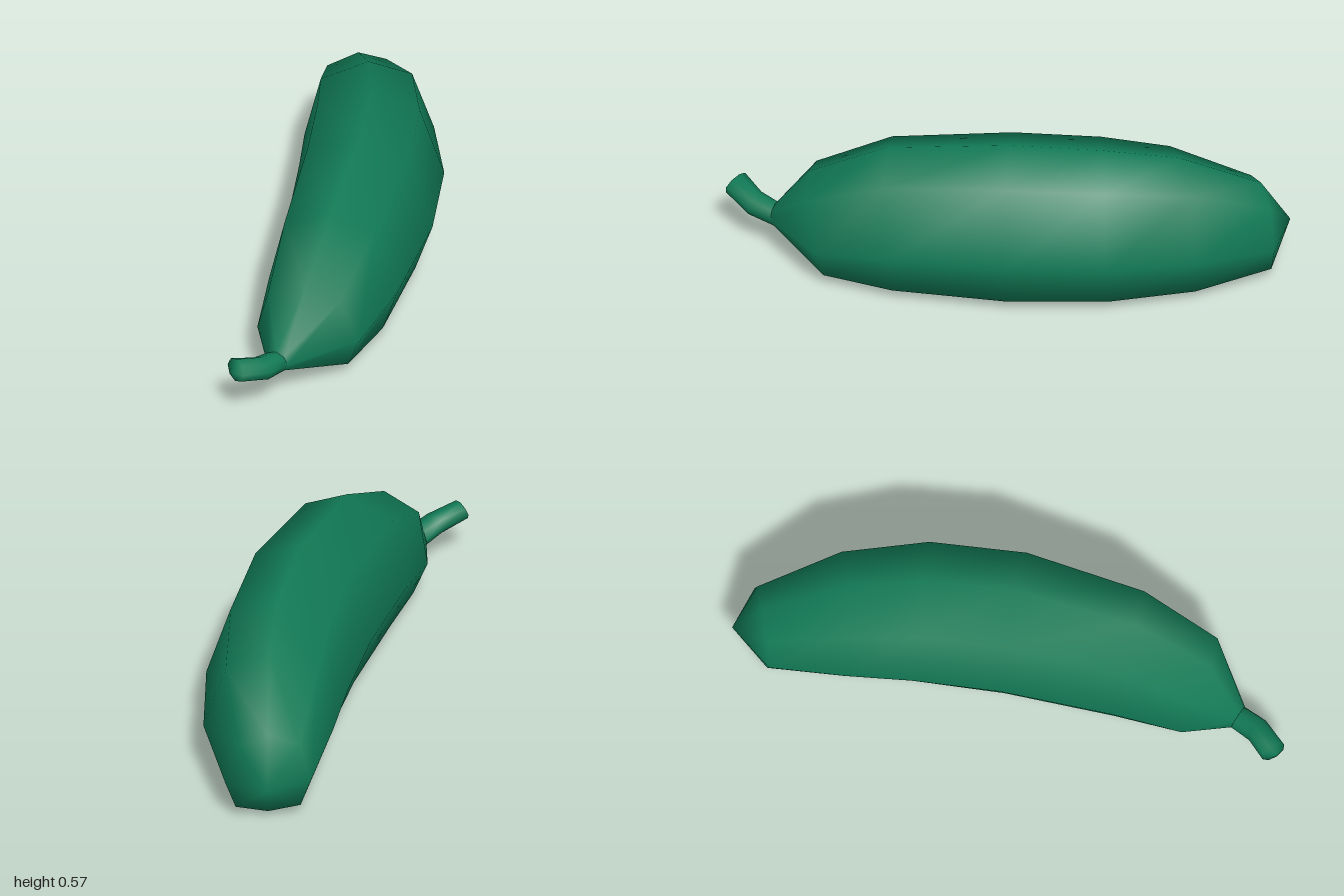
import * as THREE from 'three';

// Eight-sided section, clockwise from the top: u across (-1..1), v up (0..1)
const SECTION = [[0, 1], [0.67, 0.87], [1, 0.385], [0.76, 0.07], [0, 0], [-0.76, 0.07], [-1, 0.385], [-0.74, 0.87]];
const ROUND = SECTION.map((_, j) => [Math.sin(j * Math.PI / 4), 0.5 + 0.5 * Math.cos(j * Math.PI / 4)]);

// Ring: [left x, right x, bottom y, top y, z, z shift to the right, z shift to the top, section]
function ringPoints([x0, x1, y0, y1, z, zx, zy, section]) {
  return section.map(([u, v]) => [
    (x0 + x1) / 2 + u * (x1 - x0) / 2,
    y0 + v * (y1 - y0),
    z + u * zx + (2 * v - 1) * zy,
  ]);
}

// Skin rings ordered front to back, closing an end where a cap point is given
function loft(rings, { front, back }) {
  const n = SECTION.length;
  const points = rings.flatMap(ringPoints);
  const index = [];
  for (let i = 0; i < rings.length - 1; i++) {
    for (let j = 0; j < n; j++) {
      const a = i * n + j, b = i * n + (j + 1) % n;
      index.push(a, b, a + n, b, b + n, a + n);
    }
  }
  if (front) {
    const c = points.push(front) - 1;
    for (let j = 0; j < n; j++) index.push(c, (j + 1) % n, j);
  }
  if (back) {
    const c = points.push(back) - 1, s = (rings.length - 1) * n;
    for (let j = 0; j < n; j++) index.push(c, s + j, s + (j + 1) % n);
  }
  const g = new THREE.BufferGeometry();
  g.setAttribute('position', new THREE.Float32BufferAttribute(points.flat(), 3));
  g.setIndex(index);
  g.computeVertexNormals();
  return g;
}

export function createModel() {
  const group = new THREE.Group();
  group.name = 'curvedFruit';
  const green = new THREE.MeshStandardMaterial({ color: 0x117a56 });
  green.name = 'green';

  const neck = [-0.13, -0.045, 0.1, 0.183, 0.81, 0.015, 0.005, ROUND];

  // Curved, fat fruit with a pointed back tip
  const body = new THREE.Mesh(loft([
    neck,
    [-0.195, 0.175, 0.015, 0.385, 0.65, 0.01, 0.04, SECTION],
    [-0.205, 0.257, 0.003, 0.528, 0.39, 0, 0.02, SECTION],
    [-0.22, 0.295, 0, 0.573, -0.025, -0.005, 0, SECTION],
    [-0.25, 0.26, 0, 0.55, -0.36, -0.03, 0.01, SECTION],
    [-0.28, 0.157, 0.003, 0.49, -0.63, -0.07, 0.01, SECTION],
    [-0.297, -0.02, 0.02, 0.335, -0.9, -0.06, 0, SECTION],
  ], { back: [-0.19, 0.167, -1] }), green);
  body.name = 'fruitBody';

  // Short bent stalk
  const stem = new THREE.Mesh(loft([
    [-0.237, -0.165, 0.153, 0.225, 0.965, 0.03, -0.015, ROUND],
    [-0.168, -0.083, 0.118, 0.198, 0.89, 0.02, -0.01, ROUND],
    neck,
  ], { front: [-0.207, 0.182, 0.982] }), green);
  stem.name = 'stem';

  group.add(body, stem);
  return group;
}
